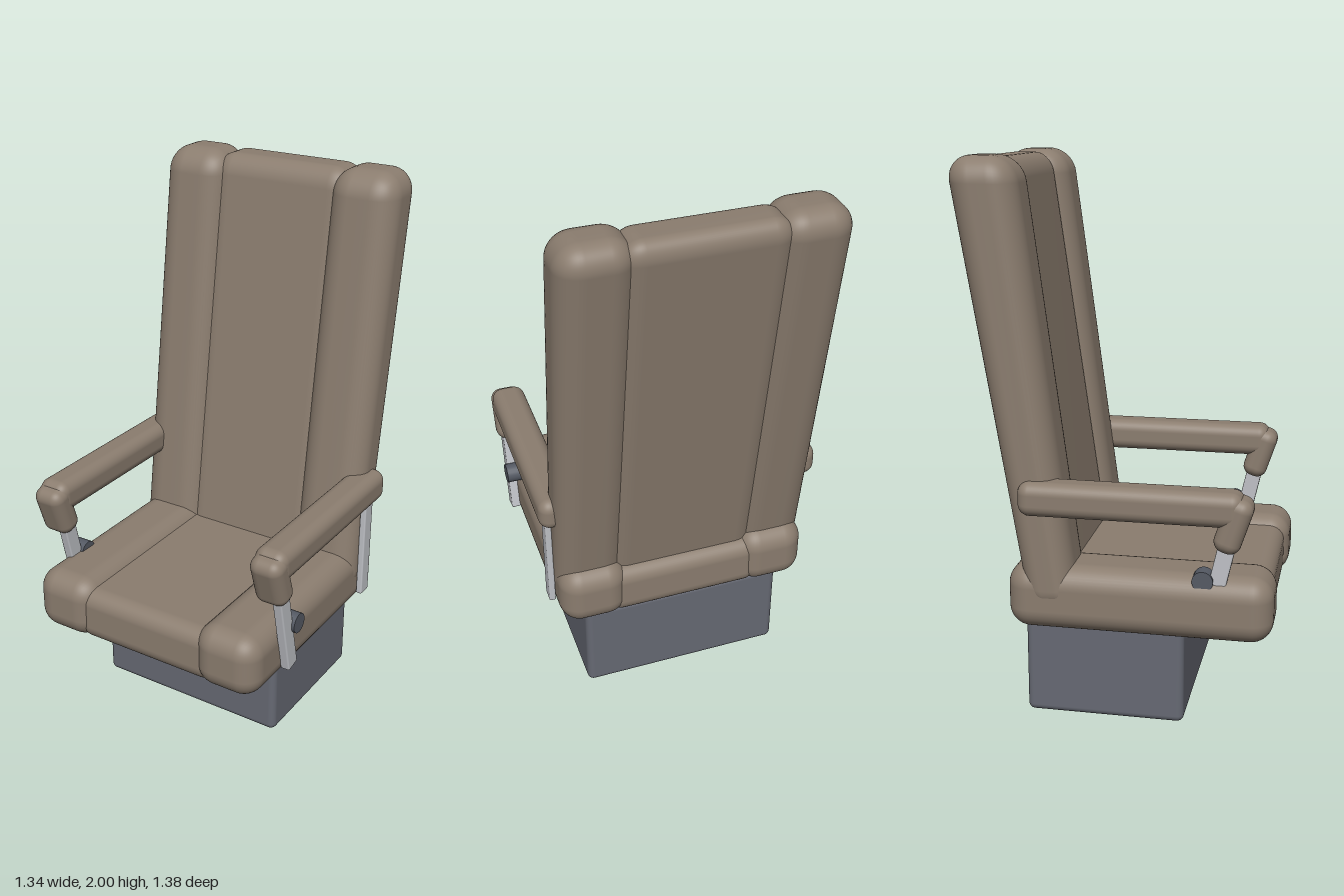
import * as THREE from 'three';
import { RoundedBoxGeometry } from 'three/addons/geometries/RoundedBoxGeometry.js';
import { mergeVertices } from 'three/addons/utils/BufferGeometryUtils.js';

const upholstery = new THREE.MeshStandardMaterial({ color: 0x8b7d6f });
upholstery.name = 'brown upholstery';
const plinthPaint = new THREE.MeshStandardMaterial({ color: 0x666973 });
plinthPaint.name = 'slate grey';
const metal = new THREE.MeshStandardMaterial({ color: 0xbfc1c6 });
metal.name = 'light metal';
const knobPaint = new THREE.MeshStandardMaterial({ color: 0x555a64 });
knobPaint.name = 'dark grey knob';

function add(parent, name, geometry, material, x = 0, y = 0, z = 0, tilt = 0) {
  const mesh = new THREE.Mesh(geometry, material);
  mesh.name = name;
  mesh.position.set(x, y, z);
  mesh.rotation.x = tilt;
  parent.add(mesh);
  return mesh;
}

// Rounded box given by its limits on each axis
function block(parent, name, material, [x0, x1], [y0, y1], [z0, z1], radius) {
  const g = new RoundedBoxGeometry(x1 - x0, y1 - y0, z1 - z0, 5, radius);
  return add(parent, name, g, material, (x0 + x1) / 2, (y0 + y1) / 2, (z0 + z1) / 2);
}

// Upright cushion whose front and back faces lean; limits are [at y 0.6, at y 1.9]
function leaningCushion(parent, name, x, width, [y0, y1], front, back, radius) {
  const depth = 0.24;
  let g = new RoundedBoxGeometry(width, y1 - y0, depth, 6, radius);
  g.translate(x, (y0 + y1) / 2, 0);
  const p = g.attributes.position;
  for (let i = 0; i < p.count; i++) {
    const t = (p.getY(i) - 0.6) / 1.3;
    const f = THREE.MathUtils.lerp(front[0], front[1], t);
    const b = THREE.MathUtils.lerp(back[0], back[1], t);
    p.setZ(i, THREE.MathUtils.lerp(b, f, p.getZ(i) / depth + 0.5));
  }
  g.deleteAttribute('normal');
  g.deleteAttribute('uv');
  g = mergeVertices(g, 1e-5);
  g.computeVertexNormals();
  return add(parent, name, g, upholstery);
}

// Straight flat bar between two points in the side plane
function strut(parent, name, x, [ya, za], [yb, zb], thickness, width) {
  const length = Math.hypot(yb - ya, zb - za);
  const g = new RoundedBoxGeometry(thickness, length, width, 2, 0.006);
  add(parent, name, g, metal, x, (ya + yb) / 2, (za + zb) / 2, Math.atan2(zb - za, yb - ya));
}

function armrest(name, x) {
  const arm = new THREE.Group();
  arm.name = name;
  arm.position.x = x;
  block(arm, 'armPad', upholstery, [-0.063, 0.063], [0.79, 0.912], [-0.33, 0.45], 0.042);
  // Drooping front grip
  const grip = new RoundedBoxGeometry(0.125, 0.2, 0.095, 5, 0.04);
  add(arm, 'armGrip', grip, upholstery, 0, 0.797, 0.416, 0.32);
  strut(arm, 'frontStrut', 0.025, [0.405, 0.323], [0.75, 0.4], 0.036, 0.06);
  strut(arm, 'rearStrut', 0.025, [0.41, -0.246], [0.82, -0.246], 0.024, 0.058);
  const knob = new THREE.CylinderGeometry(0.037, 0.037, 0.056, 20);
  knob.rotateZ(Math.PI / 2);
  add(arm, 'adjusterKnob', knob, knobPaint, 0.026, 0.58, 0.31);
  return arm;
}

export function createModel() {
  const chair = new THREE.Group();
  chair.name = 'swivelledArmchair';

  block(chair, 'plinth', plinthPaint, [-0.382, 0.382], [0, 0.37], [-0.342, 0.235], 0.025);

  // Seat and backrest: a centre panel between two bolsters
  block(chair, 'seatPanel', upholstery, [-0.3, 0.3], [0.355, 0.56], [-0.375, 0.535], 0.06);
  leaningCushion(chair, 'backPanel', 0, 0.56, [0.42, 1.99], [-0.185, -0.365], [-0.342, -0.553], 0.075);
  for (const side of [-1, 1]) {
    const x = [0.22 * side, 0.476 * side].sort((a, b) => a - b);
    block(chair, 'seatBolster', upholstery, x, [0.352, 0.592], [-0.39, 0.553], 0.08);
    leaningCushion(chair, 'backBolster', 0.35 * side, 0.26, [0.42, 2], [-0.155, -0.325], [-0.345, -0.56], 0.09);
  }

  // Both arms share one pattern, so their struts sit on the same side
  chair.add(armrest('leftArmrest', 0.465), armrest('rightArmrest', -0.46));

  // The whole chair is turned on its base
  chair.rotation.y = -Math.PI / 6;
  const model = new THREE.Group();
  model.name = 'armchair';
  model.add(chair);
  return model;
}
